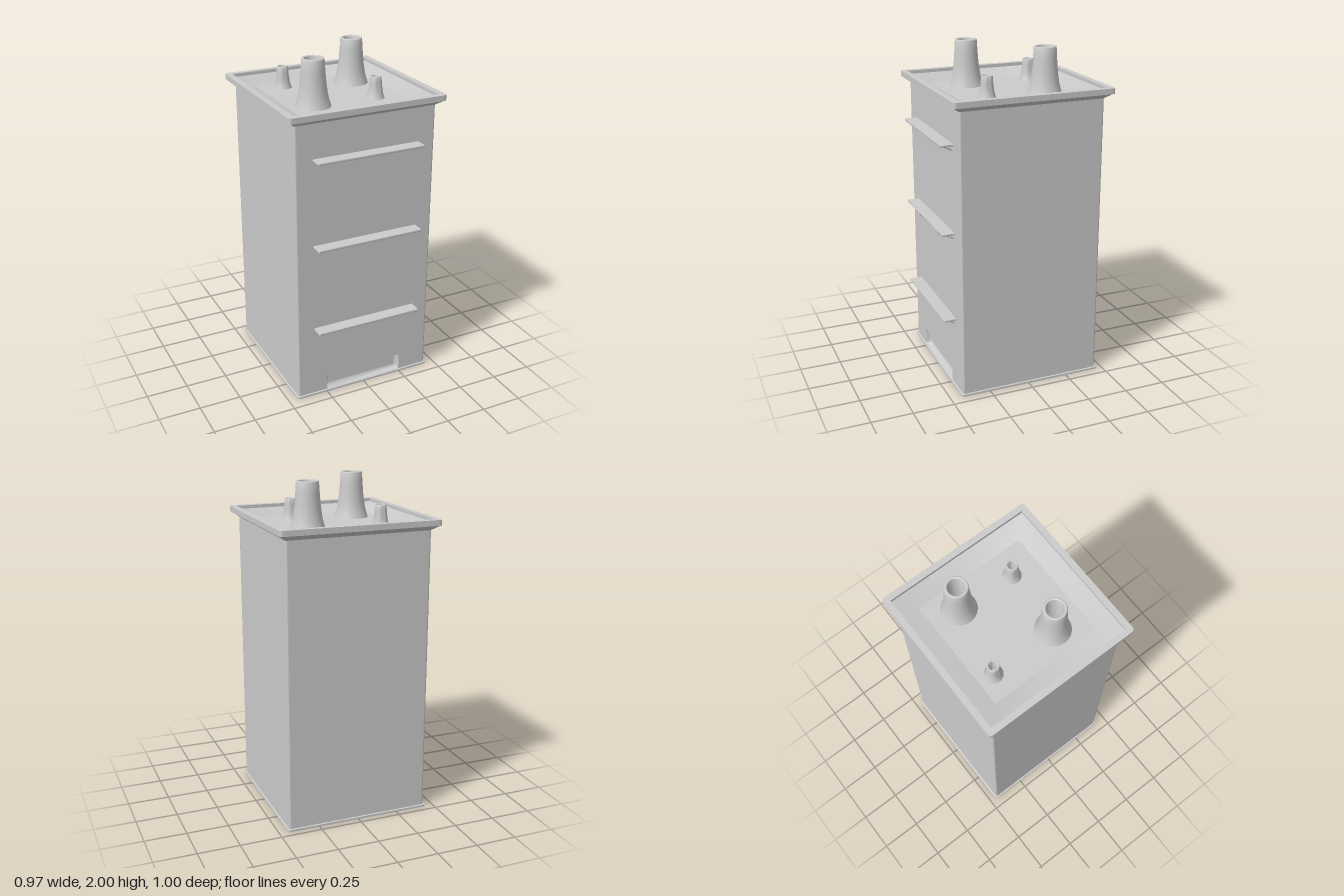
import * as THREE from 'three';
import { toCreasedNormals } from 'three/addons/utils/BufferGeometryUtils.js';

const Z0 = -0.016;      // centre of the body in z
const HALF = 0.437;     // half width of the body
const WALL = 0.01;
const FRONT = Z0 + HALF;
const FLOOR = 1.725;    // roof floor height
const SEG = 4;          // steps per rounded corner

const mat = new THREE.MeshStandardMaterial({ color: 0xcccccc, side: THREE.DoubleSide });

// Rounded rectangle at height y
function ring(hx, hz, r, y) {
  const pts = [];
  for (let c = 0; c < 4; c++) {
    const sx = c === 0 || c === 3 ? 1 : -1, sz = c < 2 ? 1 : -1;
    for (let i = 0; i <= SEG; i++) {
      const a = (c + i / SEG) * Math.PI / 2;
      pts.push([sx * (hx - r) + r * Math.cos(a), y, sz * (hz - r) + r * Math.sin(a)]);
    }
  }
  return pts;
}

// Skin through rings; skipFront leaves out the flat +z side
function loft(rings, crease = 0.01, skipFront = false) {
  const pos = [], n = rings[0].length;
  for (let k = 0; k < rings.length - 1; k++) {
    for (let i = 0; i < n; i++) {
      if (skipFront && i === SEG) continue;
      const j = (i + 1) % n, lo = rings[k], up = rings[k + 1];
      pos.push(...lo[i], ...up[i], ...lo[j], ...up[i], ...up[j], ...lo[j]);
    }
  }
  const g = new THREE.BufferGeometry();
  g.setAttribute('position', new THREE.Float32BufferAttribute(pos, 3));
  return toCreasedNormals(g, crease);
}

// Flared, hollow pipe with a rounded lip
function pipe(rBase, rTop, rHole, h) {
  const d = rBase - rTop, lip = (rTop - rHole) * 0.3;
  const pts = [
    [rBase, 0], [rTop + d * 0.74, h * 0.11], [rTop + d * 0.5, h * 0.24],
    [rTop + d * 0.26, h * 0.48], [rTop + d * 0.1, h * 0.75], [rTop, h - lip],
    [rTop - lip * 0.3, h - lip * 0.3], [rTop - lip, h],
    [rHole + lip, h], [rHole + lip * 0.3, h - lip * 0.3], [rHole, h - lip], [rHole, 0],
  ].map(([x, y]) => new THREE.Vector2(x, y));
  return toCreasedNormals(new THREE.LatheGeometry(pts, 24), 0.9);
}

export function createModel() {
  const model = new THREE.Group();
  const add = (name, geo, x = 0, y = 0, z = 0, parent = model) => {
    const m = new THREE.Mesh(geo, mat);
    m.name = name;
    m.position.set(x, y, z);
    parent.add(m);
    return m;
  };
  const sq = (h, r, y) => ring(h, h, r, y);

  // Hollow body, open below: back and side walls with rounded corners
  add('bodyWalls', loft([
    sq(HALF - WALL, 0.002, 1.73), sq(HALF - WALL, 0.002, 0),
    sq(HALF, 0.012, 0), sq(HALF, 0.012, 1.73),
  ], 0.01, true), 0, 0, Z0);

  // Front wall with an opening for the pocket
  const w = HALF - 0.012, wall = new THREE.Shape();
  wall.moveTo(-w, 0).lineTo(w, 0).lineTo(w, 1.73).lineTo(-w, 1.73).closePath();
  const pocketY = 0.0675, px = 0.25, py = 0.0525;
  const hole = new THREE.Path(
    ring(px, py, 0.01, 0).map(([x, , z]) => new THREE.Vector2(x, pocketY - z)));
  wall.holes.push(hole);
  add('frontWall', new THREE.ExtrudeGeometry(wall, { depth: WALL, bevelEnabled: false }),
    0, 0, FRONT - WALL);

  // Shallow pocket at the foot of the front wall
  const pocket = loft([
    ring(px, py, 0.01, 0), ring(px - 0.004, py - 0.004, 0.01, -0.016),
    ring(px - 0.013, py - 0.013, 0.01, -0.028), ring(px - 0.02, py - 0.02, 0.01, -0.03),
  ], 0.7);
  pocket.rotateX(Math.PI / 2);
  add('frontPocket', pocket, 0, pocketY, FRONT);
  add('pocketBack', new THREE.PlaneGeometry(2 * px - 0.04, 2 * py - 0.04), 0, pocketY, FRONT - 0.03);

  // Thin lip around the foot
  add('baseLip', loft([
    sq(HALF - WALL, 0.002, 0), sq(0.446, 0.014, 0), sq(0.446, 0.014, 0.012), sq(HALF, 0.012, 0.014),
  ]), 0, 0, Z0);

  // Roof: flared cornice, upright rim, sloping pan and flat floor
  add('roofRim', loft([
    sq(HALF, 0.012, 1.722), sq(0.478, 0.02, 1.75), sq(0.484, 0.02, 1.752),
    sq(0.484, 0.02, 1.785), sq(0.447, 0.001, 1.785), sq(0.447, 0.001, 1.765),
  ]), 0, 0, Z0);
  add('roofPan', loft([sq(0.447, 0.001, 1.765), sq(0.341, 0.001, FLOOR)], 0.6), 0, 0, Z0);
  add('roofFloor', new THREE.PlaneGeometry(0.682, 0.682).rotateX(-Math.PI / 2), 0, FLOOR, Z0);

  // Chimneys and vents
  for (const [x, z] of [[0.21, -0.185], [-0.195, 0.143]])
    add('chimney', pipe(0.103, 0.065, 0.048, 2 - FLOOR), x, FLOOR, z);
  for (const [x, z] of [[-0.205, -0.265], [0.19, 0.163]])
    add('vent', pipe(0.054, 0.033, 0.025, 1.855 - FLOOR), x, FLOOR, z);

  // Three front shelves on slanted struts
  const depth = 0.08, board = loft([
    ring(0.329, depth / 2 - 0.002, 0.005, -0.007), ring(0.332, depth / 2, 0.006, -0.004),
    ring(0.332, depth / 2, 0.006, 0.004), ring(0.329, depth / 2 - 0.002, 0.005, 0.007),
    ring(0.001, 0.001, 0.0005, 0.007),
  ]);
  const under = new THREE.PlaneGeometry(0.656, depth - 0.005).rotateX(Math.PI / 2);
  const strut = new THREE.TubeGeometry(new THREE.LineCurve3(
    new THREE.Vector3(0, -0.038, -0.012), new THREE.Vector3(0, -0.004, 0.052)), 1, 0.006, 8);
  for (const y of [1.513, 0.991, 0.455]) {
    const shelf = new THREE.Group();
    shelf.name = 'shelf';
    shelf.position.set(0.002, y, FRONT);
    add('shelfBoard', board, 0, 0, 0.495 - FRONT - depth / 2, shelf);
    add('shelfUnderside', under, 0, -0.007, 0.495 - FRONT - depth / 2, shelf);
    for (const x of [-0.3, -0.108, 0.114, 0.303]) add('shelfStrut', strut, x, 0, 0, shelf);
    model.add(shelf);
  }
  return model;
}
